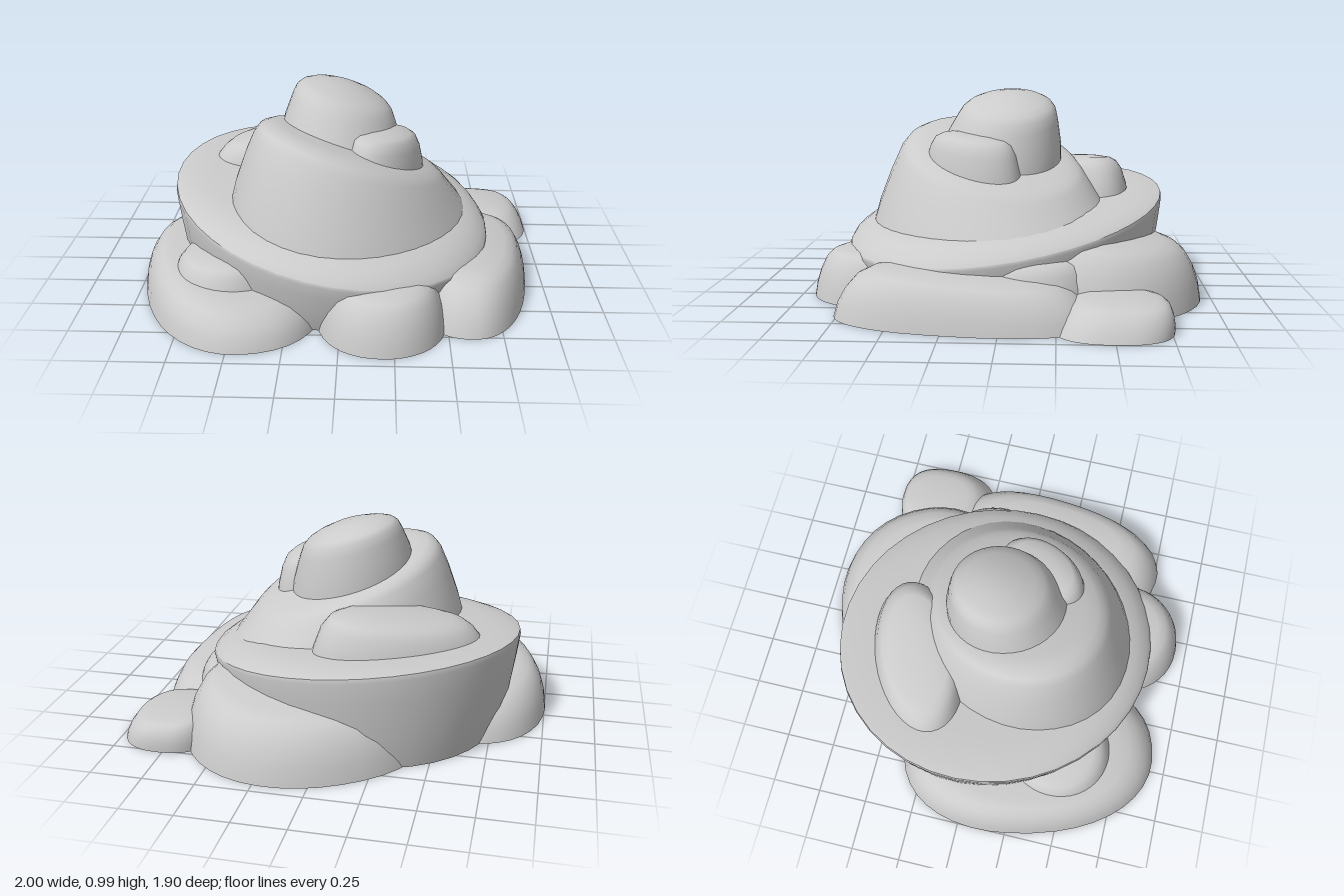
import * as THREE from 'three';

const material = new THREE.MeshStandardMaterial({ color: 0xcccccc, side: THREE.DoubleSide });
const SEGMENTS = 40;
const DIAGONAL = Math.PI / 4;

// Profiles run from the base to the apex: [radius factor, height between base plane and top plane]
const BOULDER = [[1, 0], [0.975, 0.3], [0.93, 0.56], [0.865, 0.77], [0.79, 0.89], [0.68, 0.96], [0.35, 1.02], [0, 1.04]];
const PEBBLE = [[1, 0], [0.965, 0.28], [0.905, 0.54], [0.82, 0.78], [0.72, 0.91], [0.58, 0.98], [0.3, 1.02], [0, 1.04]];
const SLAB = [[0.9, 0], [0.95, 0.35], [0.985, 0.75], [1, 0.95], [0.995, 1]];
const BEVEL = [[0.995, 0], [0.97, 0.25], [0.9, 0.6], [0.76, 1], [0, 1.15]];
const MOUND = [[1, 0], [0.95, 0.25], [0.86, 0.6], [0.79, 0.84], [0.74, 0.94], [0.67, 1], [0.56, 1.04], [0.3, 1.08], [0, 1.1]];
const CAP = [[1, 0], [0.94, 0.35], [0.82, 0.75], [0.76, 0.91], [0.68, 1], [0.55, 1.07], [0.3, 1.15], [0, 1.18]];
const NUB = [[1, 0], [0.96, 0.35], [0.87, 0.7], [0.77, 0.89], [0.64, 0.97], [0.35, 1.02], [0, 1.03]];

// Hollow dome lofted between two planes, each given as [height at centre, slope in x, slope in z]
function rock(name, { at, radii, turn = 0, base = [0, 0, 0], top, lean = [0, 0], profile = BOULDER, power = 2 }) {
  const positions = [], indices = [];
  const plane = (p, x, z) => p[0] + p[1] * x + p[2] * z;
  const round = (v) => Math.sign(v) * Math.abs(v) ** (2 / power);
  for (const [r, t] of profile) {
    for (let i = 0; i < SEGMENTS; i++) {
      const a = (i / SEGMENTS) * Math.PI * 2;
      const u = radii[0] * r * round(Math.cos(a)), v = radii[1] * r * round(Math.sin(a));
      const x = u * Math.cos(turn) - v * Math.sin(turn) + lean[0] * t;
      const z = u * Math.sin(turn) + v * Math.cos(turn) + lean[1] * t;
      const low = plane(base, x, z);
      positions.push(at[0] + x, low + t * (plane(top, x, z) - low), at[1] + z);
    }
  }
  for (let j = 0; j < profile.length - 1; j++) {
    for (let i = 0; i < SEGMENTS; i++) {
      const k = (i + 1) % SEGMENTS;
      const a = j * SEGMENTS + i, b = j * SEGMENTS + k;
      const c = a + SEGMENTS, d = b + SEGMENTS;
      indices.push(a, c, b);
      if (profile[j + 1][0] > 0) indices.push(b, c, d);
    }
  }
  const geometry = new THREE.BufferGeometry();
  geometry.setAttribute('position', new THREE.Float32BufferAttribute(positions, 3));
  geometry.setIndex(indices);
  geometry.computeVertexNormals();
  // Coincident apex points share one normal
  if (profile.at(-1)[0] === 0) {
    const normals = geometry.attributes.normal, first = (profile.length - 1) * SEGMENTS;
    const n = new THREE.Vector3();
    for (let i = 0; i < SEGMENTS; i++) n.add(new THREE.Vector3().fromBufferAttribute(normals, first + i));
    n.normalize();
    for (let i = 0; i < SEGMENTS; i++) normals.setXYZ(first + i, n.x, n.y, n.z);
  }
  const mesh = new THREE.Mesh(geometry, material);
  mesh.name = name;
  return mesh;
}

export function createModel() {
  const group = new THREE.Group();
  group.name = 'rockPile';
  const slab = { at: [-0.07, 0.005], radii: [0.826, 0.753], turn: DIAGONAL };
  const rim = [0.37, -0.13, -0.125];
  const shelf = [0.44, -0.085, -0.08];
  group.add(
    // Stacked tilted layers
    rock('mainSlab', { ...slab, top: rim, profile: SLAB }),
    rock('slabBevel', { ...slab, base: rim, top: shelf, profile: BEVEL }),
    rock('upperMound', {
      at: [0.03, 0.1], radii: [0.55, 0.62], turn: DIAGONAL, base: [0.38, -0.09, -0.085],
      top: [0.695, -0.32, 0.13], lean: [0, -0.02], profile: MOUND,
    }),
    rock('capStone', {
      at: [0, 0.04], radii: [0.31, 0.31], base: [0.65, -0.3, 0.1],
      top: [0.925, -0.28, 0], lean: [0, -0.05], profile: CAP,
    }),
    // Nubs bedded in the layers
    rock('capNub', {
      at: [0.2, 0.16], radii: [0.265, 0.17], turn: -1.05, base: [0.55, -0.1, 0.1],
      top: [0.785, -0.12, 0.04], profile: NUB,
    }),
    rock('slabNub', {
      at: [-0.3, -0.35], radii: [0.42, 0.23], turn: -0.4, base: [0.42, -0.13, -0.12],
      top: [0.63, 0.12, 0], profile: NUB,
    }),
    // Boulders around the foot
    rock('leftBoulder', {
      at: [-0.54, 0.275], radii: [0.435, 0.665], turn: -0.27, top: [0.2, -0.08, -0.02], power: 2.2,
    }),
    rock('leftBoulderNub', {
      at: [-0.535, 0.42], radii: [0.28, 0.29], base: [0.1, 0, 0], top: [0.285, 0.05, 0], profile: NUB,
    }),
    rock('frontBoulder', {
      at: [0.195, 0.62], radii: [0.3, 0.325], top: [0.24, 0, 0], profile: PEBBLE, power: 2.1,
    }),
    rock('rightBoulder', {
      at: [0.65, 0.17], radii: [0.27, 0.6], turn: 0.13, top: [0.22, -0.06, 0.05], profile: PEBBLE, power: 2.4,
    }),
    rock('rightBoulderNub', {
      at: [0.53, -0.14], radii: [0.23, 0.3], base: [0.08, 0, 0], top: [0.275, -0.05, 0], profile: NUB,
    }),
    rock('backBoulder', {
      at: [0.115, -0.385], radii: [0.61, 0.545], turn: -0.5, top: [0.325, 0.03, 0.07], power: 2.1,
    }),
    rock('backCornerStone', {
      at: [0.77, -0.5], radii: [0.23, 0.265], top: [0.14, -0.06, 0.02], lean: [-0.02, -0.04],
      profile: PEBBLE, power: 2.5,
    }),
  );
  return group;
}
